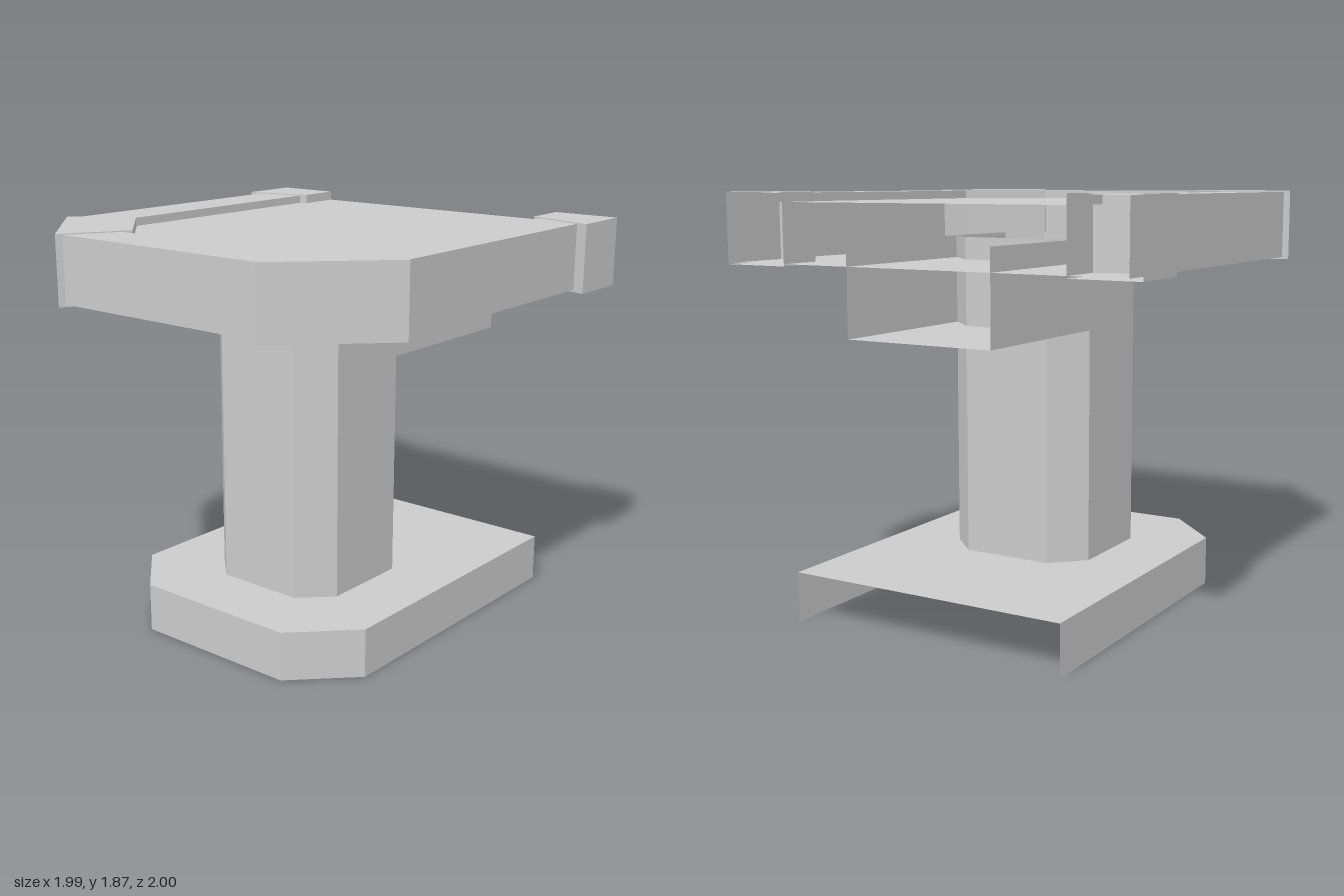
import * as THREE from 'three';
import { mergeGeometries } from 'three/addons/utils/BufferGeometryUtils.js';

const END = 0.995; // open end of the model on the +x side

// Vertical panels along a plan outline of [x, z] points
function walls(pts, y0, y1, closed = false) {
  const pos = [];
  const count = closed ? pts.length : pts.length - 1;
  for (let i = 0; i < count; i++) {
    const [ax, az] = pts[i];
    const [bx, bz] = pts[(i + 1) % pts.length];
    pos.push(ax, y0, az, bx, y0, bz, bx, y1, bz);
    pos.push(ax, y0, az, bx, y1, bz, ax, y1, az);
  }
  const g = new THREE.BufferGeometry();
  g.setAttribute('position', new THREE.Float32BufferAttribute(pos, 3));
  g.computeVertexNormals();
  return g;
}

// Flat horizontal panel filling a plan outline, facing up
function plate(pts, y) {
  const shape = new THREE.Shape(pts.map(([x, z]) => new THREE.Vector2(x, -z)));
  const g = new THREE.ShapeGeometry(shape).toNonIndexed();
  g.deleteAttribute('uv');
  return g.rotateX(-Math.PI / 2).translate(0, y, 0);
}

// Half outline (z > 0, ordered from +x to -x) completed by mirroring in z
const mirrored = (half) => [...half, ...half.map(([x, z]) => [x, -z]).reverse()];

export function createModel() {
  const group = new THREE.Group();
  const material = new THREE.MeshStandardMaterial({
    color: 0xcccccc, flatShading: true, side: THREE.DoubleSide,
  });
  const add = (name, ...parts) => {
    const mesh = new THREE.Mesh(mergeGeometries(parts), material);
    mesh.name = name;
    group.add(mesh);
  };

  // Hollow base with clipped corners, open below and at the end
  const base = mirrored([[END, 0.66], [-0.425, 0.66], [-0.685, 0.4]]);
  add('base', walls(base, 0, 0.225), plate(base, 0.225));

  // Eight-sided column running into the base and the top
  const column = mirrored([[0.325, 0.21], [0.19, 0.35], [-0.235, 0.35], [-0.37, 0.21]]);
  add('column', walls(column, 0.145, 1.67, true));

  // Open trough-shaped beam from the column to the end
  const wall = (s) => walls([[0.19, s * 0.35], [END, s * 0.35]], 1.27, 1.67);
  const beamFloor = mirrored([[END, 0.35], [0.19, 0.35], [0.325, 0.21]]);
  add('beam', wall(1), wall(-1), plate(beamFloor, 1.27));

  // Hollow table top with a recessed surface
  const outer = mirrored([[END, 0.945], [-0.59, 0.945], [-0.97, 0.56]]);
  const inner = mirrored([[END, 0.72], [-0.48, 0.72], [-0.745, 0.455]]);
  add('tableTop', walls(outer, 1.57, 1.868), plate(outer, 1.57), plate(inner, 1.83));

  // Raised border around the surface
  add('border', walls(inner, 1.83, 1.868), plate([...outer, ...[...inner].reverse()], 1.868));

  // Blocks at the clipped corners and at the open end, on both sides
  const cornerOutline = [[-0.59, 0.97], [-0.997, 0.565], [-0.71, 0.4], [-0.425, 0.685]];
  const endOutline = [[END, 1], [0.705, 1], [0.79, 0.685], [END, 0.685]];
  for (const [side, s] of [['front', 1], ['back', -1]]) {
    const block = (name, half, closed) => {
      const pts = half.map(([x, z]) => [x, s * z]);
      add(name, walls(pts, 1.56, 1.873, closed), plate(pts, 1.56), plate(pts, 1.873));
    };
    block(side + 'CornerBlock', cornerOutline, true);
    block(side + 'EndBlock', endOutline, false);
  }
  return group;
}
